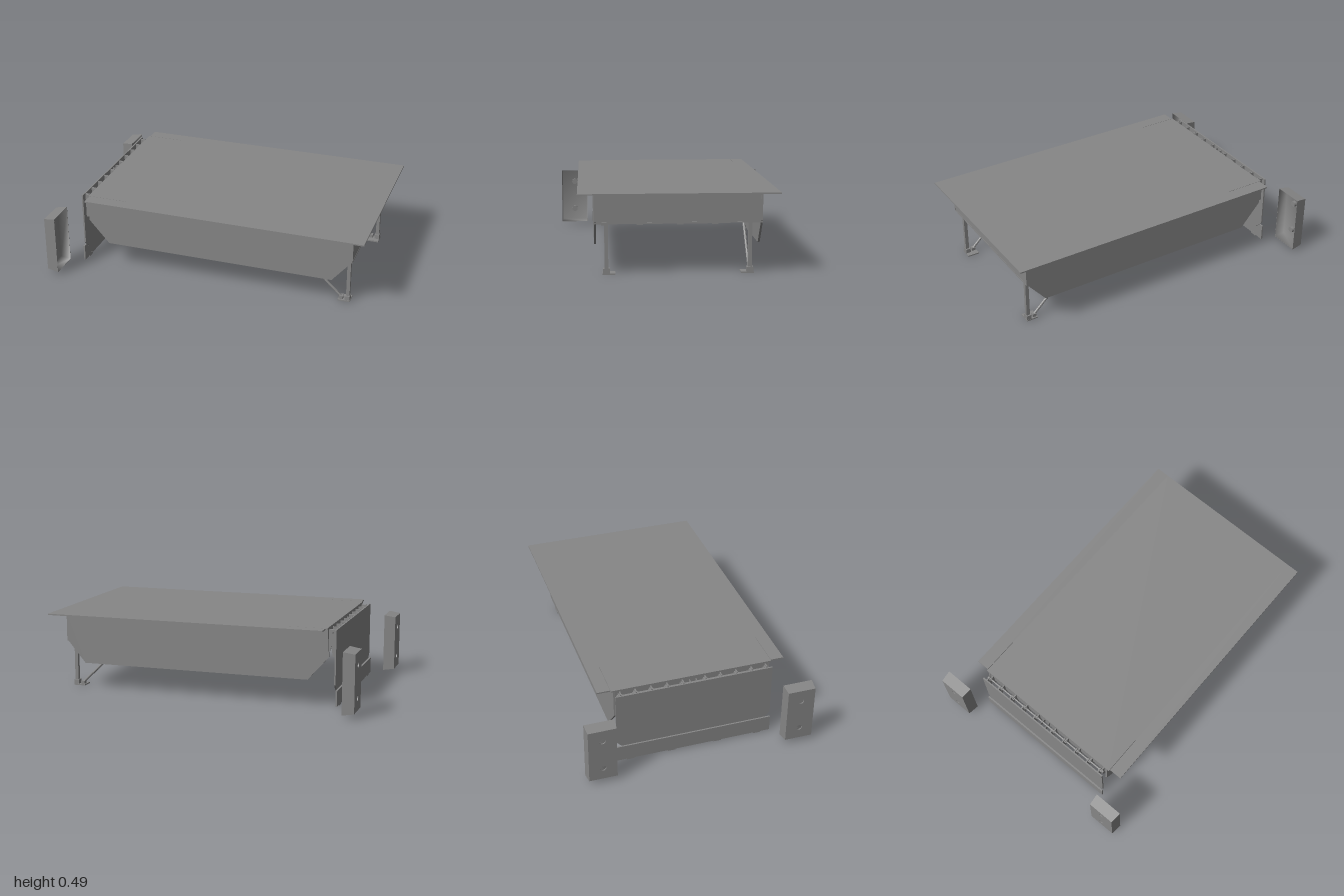
import * as THREE from 'three';

const mat = new THREE.MeshStandardMaterial({ color: 0x868686, flatShading: true, side: THREE.DoubleSide });
const smoothMat = new THREE.MeshStandardMaterial({ color: 0x868686, side: THREE.DoubleSide });

export function createModel() {
  const model = new THREE.Group();
  model.name = 'loadingPlatform';

  const add = (name, geo, parent = model, material = mat) => {
    const mesh = new THREE.Mesh(geo, material);
    mesh.name = name;
    parent.add(mesh);
    return mesh;
  };
  // Box given by its extents on each axis
  const box = (name, x0, x1, y0, y1, z0, z1, parent) => {
    const m = add(name, new THREE.BoxGeometry(x1 - x0, y1 - y0, z1 - z0), parent);
    m.position.set((x0 + x1) / 2, (y0 + y1) / 2, (z0 + z1) / 2);
    return m;
  };
  const shapeOf = pts => new THREE.Shape(pts.map(p => new THREE.Vector2(p[0], p[1])));
  // Side profile in x, y extruded along z
  const plate = (name, pts, z0, z1) => {
    const geo = new THREE.ExtrudeGeometry(shapeOf(pts), { depth: z1 - z0, bevelEnabled: false });
    return add(name, geo.translate(0, 0, z0));
  };
  // Round bar between two points
  const bar = (name, a, b, r, sides, parent) => {
    const p = new THREE.Vector3(...a), q = new THREE.Vector3(...b);
    const m = add(name, new THREE.CylinderGeometry(r, r, p.distanceTo(q), sides), parent);
    m.position.copy(p).add(q).multiplyScalar(0.5);
    m.quaternion.setFromUnitVectors(new THREE.Vector3(0, 1, 0), q.sub(p).normalize());
    return m;
  };

  // Deck: centre sheet and outer strips parted by short slots
  box('deck', -0.785, 1, 0.477, 0.485, -0.5, 0.5);
  for (const s of [-1, 1]) {
    const zs = (a, b) => (s > 0 ? [a, b] : [-b, -a]);
    box('deckEdge', -0.775, 1, 0.477, 0.485, ...zs(0.502, 0.583));
    box('deckEdgeJoin', -0.53, 1, 0.477, 0.485, ...zs(0.5, 0.502));

    // Side skirt
    plate('sideSkirt', [[-0.785, 0.477], [0.917, 0.477], [0.917, 0.31], [0.793, 0.163],
      [-0.665, 0.163], [-0.795, 0.31]], ...zs(0.476, 0.488));
  }

  // Rear wall with a small return flange
  box('rearWall', 0.905, 0.915, 0.308, 0.477, -0.476, 0.476);
  box('rearFlange', 0.885, 0.917, 0.3, 0.308, -0.488, 0.488);

  // Deep beams beneath the deck, with a pair of hinge lugs in front of each
  const rows = [0.07, 0.167, 0.265, 0.362, 0.455];
  for (const s of [-1, 1]) for (const r of rows) {
    const z = s * r;
    box('deckBeam', -0.775, 0.905, 0.335, 0.477, z - 0.02, z + 0.02);
    plate('lipLug', [[-0.829, 0.472], [-0.8, 0.472], [-0.795, 0.43], [-0.812, 0.31], [-0.829, 0.31]], z - 0.01, z - 0.002);
    plate('deckLug', [[-0.818, 0.472], [-0.775, 0.472], [-0.775, 0.34], [-0.793, 0.34]], z + 0.002, z + 0.01);
    bar('hingeCollar', [-0.806, 0.455, z - 0.015], [-0.806, 0.455, z + 0.015], 0.011, 12);
  }
  bar('hingePin', [-0.806, 0.455, -0.475], [-0.806, 0.455, 0.475], 0.006, 12);
  box('frontHeader', -0.785, -0.775, 0.395, 0.477, -0.476, 0.476);
  for (const z of [-0.02, 0.02]) box('centreLug', -0.83, -0.78, 0.42, 0.465, z - 0.002, z + 0.002);

  // Hanging lip with clipped lower corners; its profile is drawn in z, y
  const lipShape = shapeOf([[-0.488, 0.475], [0.488, 0.475], [0.488, 0.14], [0.44, 0.092], [-0.44, 0.092], [-0.488, 0.14]]);
  const lip = new THREE.ExtrudeGeometry(lipShape, { depth: 0.009, bevelEnabled: false });
  add('lip', lip.rotateY(Math.PI / 2).translate(-0.838, 0, 0));

  // Lip holder along the bottom
  box('lipHolder', -0.849, -0.839, 0.01, 0.11, -0.488, 0.488);
  box('lipHolderLedge', -0.84, -0.829, 0.09, 0.098, -0.44, 0.44);
  for (const z of [-0.405, -0.147, 0.147, 0.405]) box('holderTab', -0.848, -0.838, 0.003, 0.02, z - 0.024, z + 0.024);

  // Support legs with feet and diagonal struts
  for (const s of [-1, 1]) {
    const leg = new THREE.Group();
    leg.name = 'supportLeg';
    leg.position.z = s * 0.418;
    model.add(leg);
    box('post', 0.874, 0.896, 0.01, 0.477, -0.011, 0.011, leg);
    const foot = box('footPlate', 0.825, 0.9, 0, 0.008, -0.037, 0.037, leg);
    foot.position.z = -s * 0.015;
    box('footSocket', 0.868, 0.899, 0.008, 0.036, -0.02, 0.02, leg);
    box('strutBracket', 0.83, 0.855, 0.008, 0.028, -0.013, 0.013, leg);
    bar('strut', [0.845, 0.018, 0], [0.5, 0.345, 0], 0.008, 8, leg);
    bar('strutPin', [0.5, 0.345, -0.05], [0.5, 0.345, 0.05], 0.007, 8, leg);
  }

  // Bumpers: thin tapered shells, open towards the platform, with bored bolt bosses
  const holesY = [0.109, 0.308], cy = 0.208;
  const ring = (x, hy, hz) => [[x, cy - hy, -hz], [x, cy + hy, -hz], [x, cy + hy, hz], [x, cy - hy, hz]];
  // Four-sided skin between two rectangles
  const skin = (a, b) => {
    const geo = new THREE.BufferGeometry();
    geo.setAttribute('position', new THREE.Float32BufferAttribute([...a, ...b].flat(), 3));
    const index = [];
    for (let k = 0; k < 4; k++) {
      const n = (k + 1) % 4;
      index.push(k, k + 4, n, n, k + 4, n + 4);
    }
    geo.setIndex(index);
    return geo;
  };
  for (const s of [-1, 1]) {
    const bumper = new THREE.Group();
    bumper.name = 'bumper';
    bumper.position.z = s * 0.616;
    model.add(bumper);

    const front = ring(-1, 0.176, 0.086), rim = ring(-0.928, 0.187, 0.092);
    const lining = ring(-0.928, 0.1855, 0.0905), floor = ring(-0.992, 0.174, 0.084);
    for (const [a, b] of [[front, rim], [rim, lining]]) {
      const outer = skin(a, b);
      outer.computeVertexNormals();
      add('bumperWall', outer, bumper);
    }

    // Lining blends softly into the closed floor
    const inner = skin(lining, floor);
    inner.setIndex([...inner.index.array, 4, 6, 5, 4, 7, 6]);
    inner.computeVertexNormals();
    add('bumperLining', inner, bumper, smoothMat);

    // Front face with two bolt holes
    const face = shapeOf(front.map(p => [p[2], p[1]]));
    for (const y of holesY) face.holes.push(new THREE.Path().absarc(0, y, 0.018, 0, Math.PI * 2, true));
    const faceGeo = new THREE.ExtrudeGeometry(face, { depth: 0.007, bevelEnabled: false, curveSegments: 12 });
    add('bumperFace', faceGeo.rotateY(Math.PI / 2).translate(-1, 0, 0), bumper);

    // Bolt boss standing on the floor
    for (const y of holesY) bar('boltBoss', [-0.992, y, 0], [-0.975, y, 0], 0.019, 20, bumper);
  }
  return model;
}
